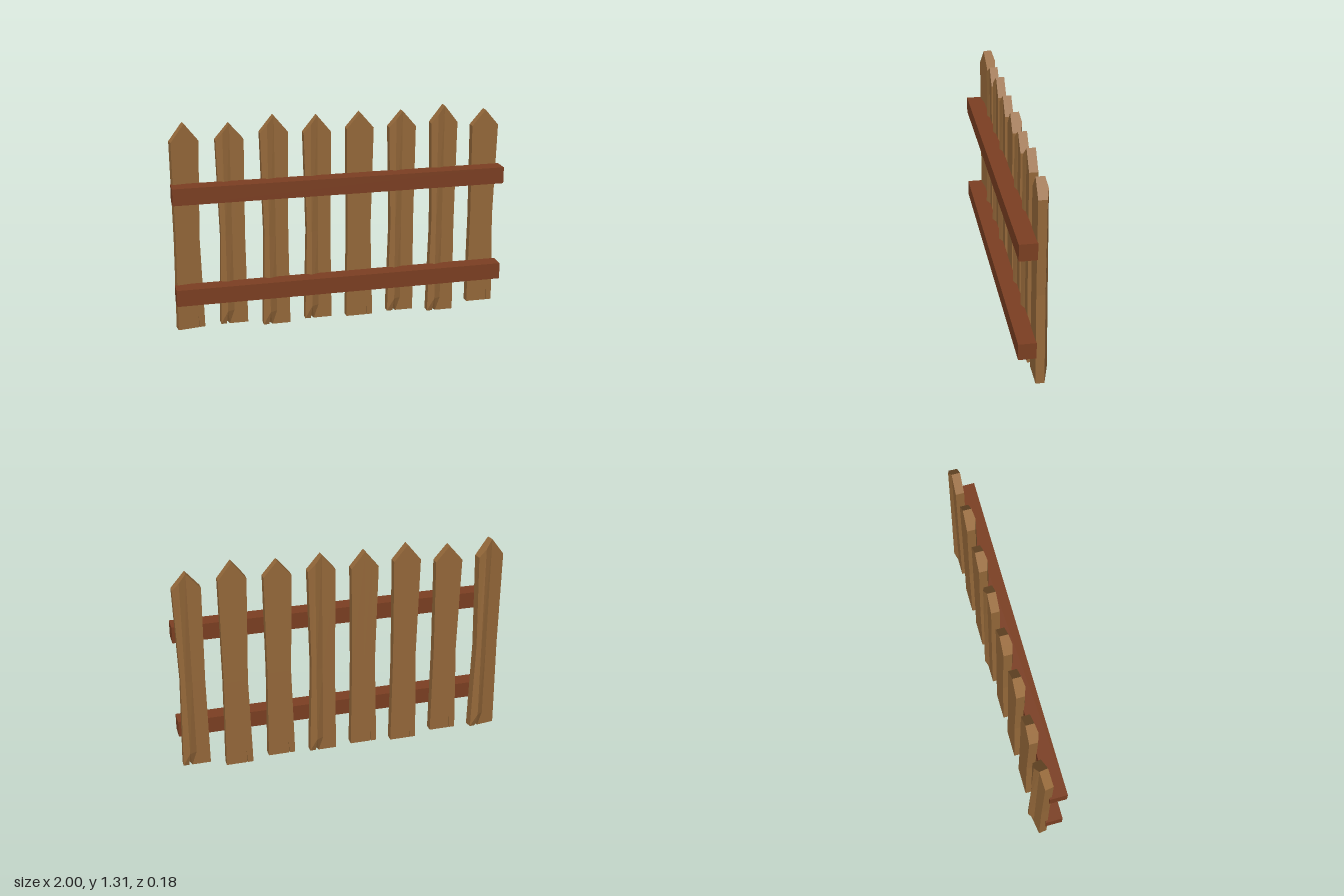
import * as THREE from 'three';

const wood = new THREE.MeshStandardMaterial({ color: 0x96693a });
wood.name = 'picket wood';
const railWood = new THREE.MeshStandardMaterial({ color: 0x7c3f22 });
railWood.name = 'rail wood';

const HALF = 0.082;    // half picket width
const DEPTH = 0.025;   // half picket thickness
const SPLIT = -0.042;  // where the crack runs
const WAIST = [0, 0.002, 0.015, 0];          // inward bow of the edge, per row
const RIDGE = [0, 0.02, 0.016, 0.012];       // forward bulge along the crack, per row

// Bends a segmented box into one strip of a picket. Columns are named points across the width.
function strip(cols, base, shoulder, peak) {
  const nx = cols.length - 1;
  const ny = 3;
  const slope = (peak - shoulder) * (SPLIT + HALF) / HALF;
  const geo = new THREE.BoxGeometry(1, 1, 1, nx, ny, 1).toNonIndexed();
  const p = geo.attributes.position;
  for (let v = 0; v < p.count; v++) {
    const col = cols[Math.round((p.getX(v) + 0.5) * nx)];
    const row = Math.round((p.getY(v) + 0.5) * ny);
    const front = p.getZ(v) > 0;
    let x = 0, top = peak, z = front ? DEPTH : -DEPTH;
    if (col === 'left') { x = -HALF + WAIST[row]; top = shoulder; }
    if (col === 'right') { x = HALF - WAIST[row] * 0.4; top = shoulder; }
    if (col === 'crackLeft' || col === 'crackRight') {
      x = SPLIT;
      top = shoulder + slope;
      if (front) z += RIDGE[row];
      // The crack opens at the foot and narrows towards the back
      if (row === 0) x += col === 'crackLeft' ? -0.006 : (front ? 0.013 : -0.002);
    }
    const y = [base, base + 0.085, base + 0.56, top][row];
    p.setXYZ(v, x, y, z);
  }
  geo.computeVertexNormals();
  return geo;
}

function makePicket(x, base, shoulder, peak, turn) {
  const picket = new THREE.Group();
  picket.name = 'picket';
  const parts = {
    picketEdge: ['left', 'crackLeft'],
    picketBoard: ['crackRight', 'middle', 'right'],
  };
  for (const [name, cols] of Object.entries(parts)) {
    const mesh = new THREE.Mesh(strip(cols, base, shoulder, peak), wood);
    mesh.name = name;
    picket.add(mesh);
  }
  picket.position.set(x, 0, -0.036);
  picket.rotation.y = turn;
  return picket;
}

export function createModel() {
  const fence = new THREE.Group();
  fence.name = 'picketFence';

  // Pickets: x, base, shoulder, peak, turn (some are set back to front)
  const pickets = [
    [-0.912, 0.03, 1.18, 1.285, Math.PI + 0.15],
    [-0.65, 0.04, 1.175, 1.27, 0],
    [-0.39, 0.01, 1.205, 1.305, 0],
    [-0.132, 0.025, 1.19, 1.29, 0],
    [0.127, 0.015, 1.2, 1.295, Math.PI],
    [0.387, 0.025, 1.195, 1.29, 0],
    [0.648, 0, 1.205, 1.31, 0],
    [0.908, 0.04, 1.175, 1.27, Math.PI],
  ];
  for (const spec of pickets) fence.add(makePicket(...spec));

  // Two cross rails on the front
  for (const [name, y] of [['lowerRail', 0.265], ['upperRail', 0.882]]) {
    const rail = new THREE.Mesh(new THREE.BoxGeometry(2, 0.1, 0.102), railWood);
    rail.name = name;
    rail.position.set(0, y, 0.038);
    fence.add(rail);
  }
  return fence;
}
